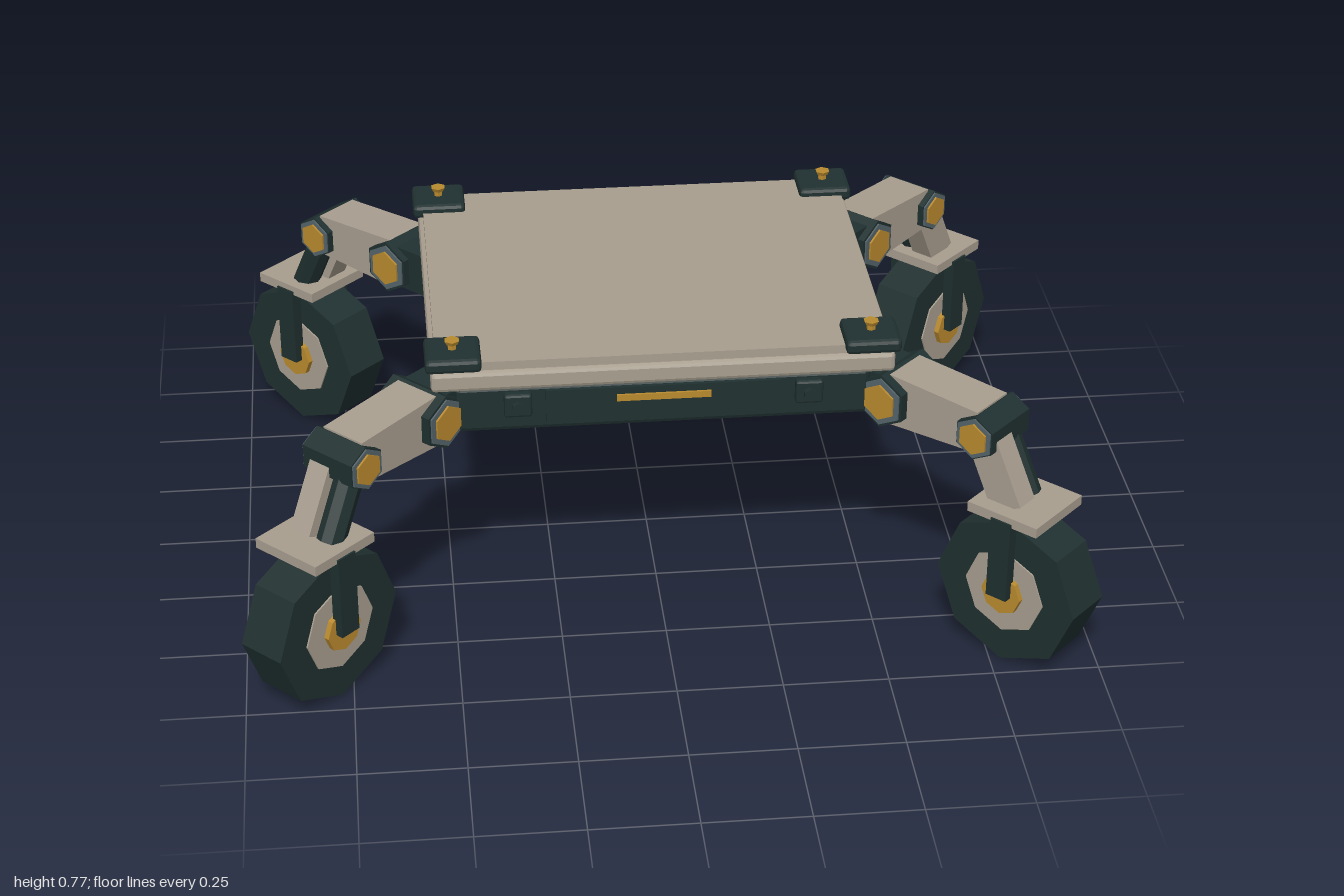
import * as THREE from 'three';
import { RoundedBoxGeometry } from 'three/addons/geometries/RoundedBoxGeometry.js';

const material = (name, color) => {
  const m = new THREE.MeshStandardMaterial({ color });
  m.name = name;
  return m;
};

export function createModel() {
  const beige = material('warm grey panel', 0xa89e8f);
  const dark = material('dark green rubber', 0x203030);
  const gold = material('ochre fittings', 0xb98a2e);
  const slate = material('slate metal', 0x55646a);

  const model = new THREE.Group();
  model.name = 'fourWheelRover';

  // Adds one faceted mesh
  function add(parent, name, geometry, mat, x = 0, y = 0, z = 0) {
    const g = geometry.index ? geometry.toNonIndexed() : geometry;
    g.computeVertexNormals();
    const mesh = new THREE.Mesh(g, mat);
    mesh.name = name;
    mesh.position.set(x, y, z);
    parent.add(mesh);
    return mesh;
  }
  const box = (w, h, d) => new THREE.BoxGeometry(w, h, d);
  const soft = (w, h, d, r = 0.012) => new RoundedBoxGeometry(w, h, d, 1, r);
  // Prism lying along z with a corner pointing up
  const axle = (r, length, sides) =>
    new THREE.CylinderGeometry(r, r, length, sides).rotateX(Math.PI / 2);

  // Chassis and deck
  const body = new THREE.Group();
  body.name = 'body';
  model.add(body);
  add(body, 'chassis', soft(0.97, 0.12, 0.85), dark, 0, 0.595, 0);
  add(body, 'bellyPan', soft(0.62, 0.07, 0.57, 0.015), dark, 0, 0.515, 0);
  add(body, 'bellyCover', box(0.42, 0.008, 0.37), dark, 0, 0.478, 0);
  add(body, 'deckRim', soft(1.08, 0.05, 0.89, 0.01), beige, 0, 0.68, 0);
  add(body, 'deckTop', box(1.055, 0.03, 0.865), beige, 0, 0.711, 0);

  // Front and back fittings
  for (const s of [-1, 1]) {
    add(body, 'endPanel', box(0.55, 0.085, 0.012), dark, 0, 0.6, s * 0.428);
    add(body, 'lightStrip', box(0.22, 0.016, 0.008), gold, 0, 0.617, s * 0.436);
    for (const sx of [-1, 1]) {
      add(body, 'sensorBox', soft(0.065, 0.06, 0.025, 0.006), dark, sx * 0.34, 0.61, s * 0.432);
      add(body, 'sensorLens', axle(0.015, 0.014, 6), dark, sx * 0.34, 0.61, s * 0.451);
    }
    add(body, 'sidePanel', box(0.012, 0.06, 0.435), beige, s * 0.488, 0.615, 0);
  }

  // Deck corner pads with bolts
  for (const sx of [-1, 1]) for (const sz of [-1, 1]) {
    const x = sx * 0.487, z = sz * 0.395;
    add(body, 'cornerPad', soft(0.13, 0.035, 0.125, 0.01), dark, x, 0.728, z);
    add(body, 'boltStem', new THREE.CylinderGeometry(0.011, 0.011, 0.025, 6), gold, x, 0.753, z);
    add(body, 'boltHead', new THREE.CylinderGeometry(0.019, 0.014, 0.01, 6), gold, x, 0.763, z);
  }

  // Hexagonal joint with a capped end on each side
  function joint(leg, name, x, y, r, half, capRadius) {
    add(leg, name, axle(r, 2 * half, 6), dark, x, y, 0);
    add(leg, name + 'Ring', axle((r + capRadius) / 2 + 0.004, 2 * half + 0.008, 6), slate, x, y, 0);
    add(leg, name + 'Cap', axle(capRadius, 2 * half + 0.018, 6), gold, x, y, 0);
  }

  // Leg: local x points outward, z runs across, origin below the wheel hub
  function buildLeg() {
    const leg = new THREE.Group();
    leg.name = 'leg';
    const hipX = -0.36, kneeX = -0.1, kneeY = 0.575;

    add(leg, 'hipBracket', box(0.12, 0.11, 0.13), dark, hipX - 0.06, 0.582, 0);
    joint(leg, 'hip', hipX, 0.58, 0.069, 0.083, 0.046);

    const side = new THREE.Shape([
      new THREE.Vector2(hipX, 0.512), new THREE.Vector2(kneeX - 0.005, 0.526),
      new THREE.Vector2(kneeX - 0.005, 0.633), new THREE.Vector2(hipX, 0.645),
    ]);
    add(leg, 'upperArm', new THREE.ExtrudeGeometry(side, { depth: 0.12, bevelEnabled: false }),
      beige, 0, 0, -0.06);
    joint(leg, 'knee', kneeX, kneeY, 0.056, 0.076, 0.04);

    // Sloping shin: a beige link beside a dark damper
    const shin = new THREE.Group();
    shin.name = 'shin';
    shin.position.set((kneeX - 0.015) / 2, (kneeY + 0.405) / 2, 0);
    shin.rotation.z = Math.atan2(-0.015 - kneeX, kneeY - 0.405);
    leg.add(shin);
    add(shin, 'shinLink', box(0.085, 0.19, 0.06), beige, 0, 0, 0.025);
    add(shin, 'damper', new THREE.CylinderGeometry(0.034, 0.034, 0.19, 8), dark, 0, 0, -0.035);

    // Fork
    add(leg, 'forkPlate', box(0.19, 0.025, 0.19), beige, 0, 0.403, 0);
    for (const s of [-1, 1])
      add(leg, 'forkStrut', box(0.055, 0.21, 0.028), dark, 0, 0.295, s * 0.086);

    // Wheel
    add(leg, 'tyre', axle(0.19, 0.124, 8), dark, 0, 0.19, 0);
    add(leg, 'wheelRim', axle(0.107, 0.132, 8), beige, 0, 0.19, 0);
    add(leg, 'wheelHub', axle(0.053, 0.16, 8), gold, 0, 0.19, 0);
    return leg;
  }

  // Four legs, each turned a quarter from the last
  const corners = [[1, 1], [1, -1], [-1, -1], [-1, 1]];
  corners.forEach(([sx, sz], i) => {
    const leg = buildLeg();
    leg.position.set(sx * 0.82, 0, sz * 0.645);
    leg.rotation.y = -Math.PI / 4 + i * Math.PI / 2;
    model.add(leg);
  });

  return model;
}
